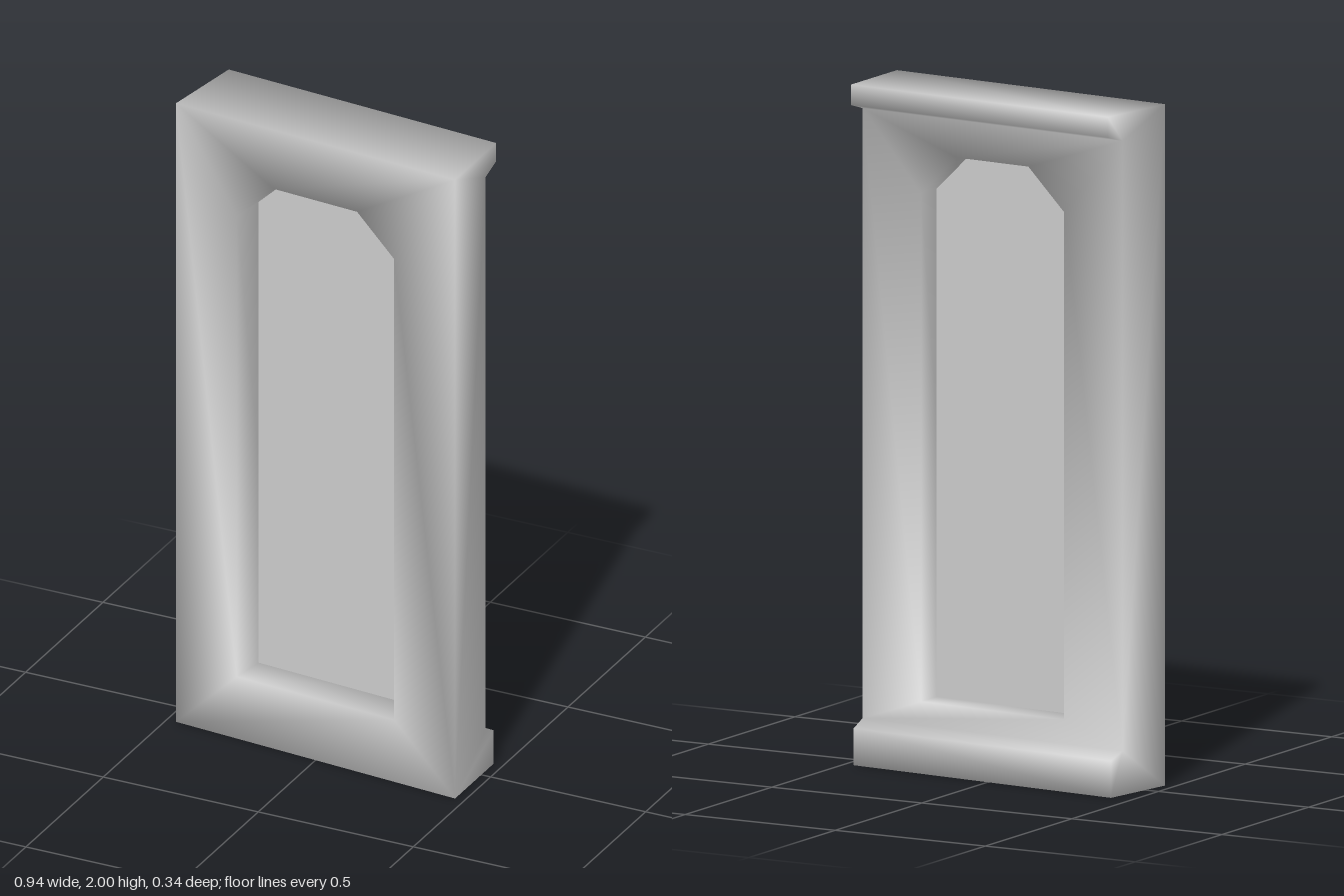
import * as THREE from 'three';

const FRONT = 0.13, BACK = -0.067, PANE = 0.02;

// Skews the panel: it runs back towards -x and its left-hand ends splay inwards with depth.
function place(x, y, z) {
  const px = x < 0 ? x + (FRONT - z) * 0.15 : x;
  return new THREE.Vector3(px, y, z + 0.085 * px);
}

// Window outline, counter-clockwise from the lower corner, with a clipped top
const OPENING = [[-0.265, 0.2], [0.265, 0.2], [0.265, 1.69], [0.14, 1.81], [-0.14, 1.81], [-0.265, 1.69]];

// Side profile [z, y]: front edge, ledge at the top, recessed back, plinth at the bottom
const PROFILE = [
  [FRONT, 0], [FRONT, 2], [-0.135, 2], [-0.135, 1.94],
  [BACK, 1.92], [BACK, 0.13], [-0.12, 0.108], [-0.12, 0],
];

function frameGeometry() {
  const points = [], normals = [], index = [];
  const add = (x, y, z) => {
    normals.push(new THREE.Vector3());
    return points.push(place(x, y, z)) - 1;
  };
  // Flat polygon, counter-clockwise from outside; every face weighs equally in the soft normals
  const face = (...ids) => {
    const [a, b, c] = ids.map((i) => points[i]);
    const n = b.clone().sub(a).cross(c.clone().sub(a)).normalize();
    ids.forEach((i) => normals[i].add(n));
    for (let k = 1; k < ids.length - 1; k++) index.push(ids[0], ids[k], ids[k + 1]);
  };

  const R = PROFILE.map(([z, y]) => add(0.47, y, z));
  const L = PROFILE.map(([z, y]) => add(-0.47, y, z));
  const F = OPENING.map(([x, y]) => add(x, y, FRONT));
  const B = OPENING.map(([x, y]) => add(x, y, BACK));

  // Top, ledge, plinth and underside; front (0) and back (4) carry the window
  for (let i = 0; i < 8; i++) {
    const j = (i + 1) % 8;
    if (i !== 0 && i !== 4) face(R[i], R[j], L[j], L[i]);
  }

  // End faces: wall, ledge end and plinth end
  const wallTop = [4, 1, 0, 5];
  for (const ids of [[0, 5, 4, 1], [1, 4, 3, 2], [0, 7, 6, 5]]) {
    face(...ids.map((i) => R[i]));
    face(...ids.map((i) => L[i]).reverse());
  }

  // Face around the window: corners given as lower -x, lower +x, upper +x, upper -x
  const surround = (o, w, flip) => {
    const rim = [
      [o[0], o[1], w[1], w[0]], [o[1], o[2], w[2], w[1]], [o[2], w[3], w[2]],
      [o[2], o[3], w[4], w[3]], [o[3], w[5], w[4]], [o[3], o[0], w[0], w[5]],
    ];
    rim.forEach((ids) => face(...(flip ? ids.reverse() : ids)));
  };
  surround([L[0], R[0], R[1], L[1]], F, false);
  surround([L[5], R[5], R[4], L[4]], B, true);

  // Reveal through the wall
  for (let i = 0; i < 6; i++) {
    const j = (i + 1) % 6;
    face(F[i], F[j], B[j], B[i]);
  }

  const g = new THREE.BufferGeometry().setFromPoints(points);
  g.setAttribute('normal', new THREE.Float32BufferAttribute(
    normals.flatMap((n) => n.normalize().toArray()), 3));
  g.setIndex(index);
  return g;
}

function paneGeometry() {
  const g = new THREE.ShapeGeometry(new THREE.Shape(OPENING.map(([x, y]) => new THREE.Vector2(x, y))));
  const p = g.attributes.position;
  for (let i = 0; i < p.count; i++) {
    const v = place(p.getX(i), p.getY(i), PANE);
    p.setXYZ(i, v.x, v.y, v.z);
  }
  g.computeVertexNormals();
  return g;
}

export function createModel() {
  const grey = new THREE.MeshStandardMaterial({ color: 0xcccccc });
  grey.name = 'light grey';
  grey.side = THREE.DoubleSide;

  const model = new THREE.Group();
  model.name = 'windowPanel';
  const frame = new THREE.Mesh(frameGeometry(), grey);
  frame.name = 'frame';
  const pane = new THREE.Mesh(paneGeometry(), grey);
  pane.name = 'pane';
  model.add(frame, pane);
  return model;
}
